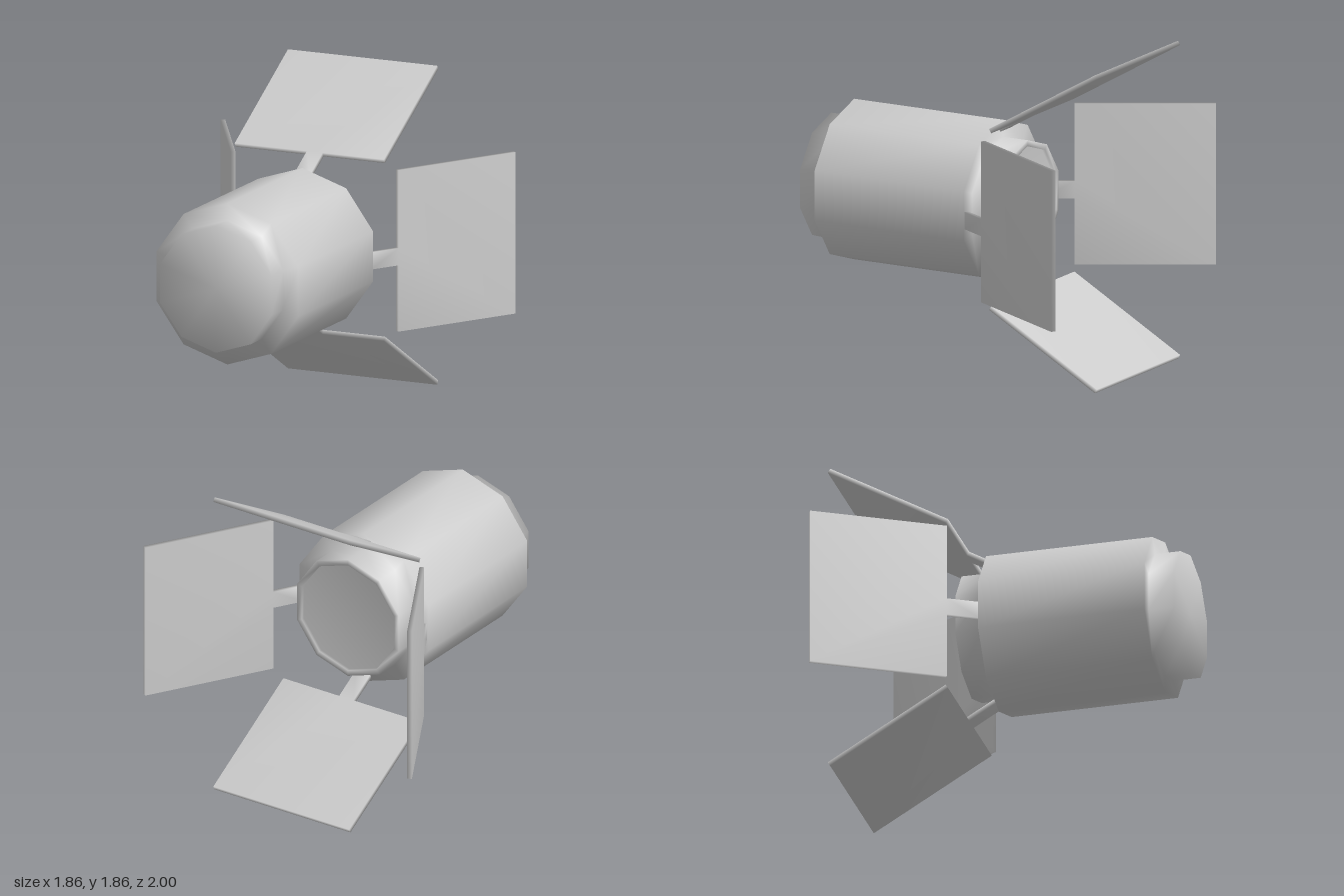
import * as THREE from 'three';
import { mergeVertices } from 'three/addons/utils/BufferGeometryUtils.js';

const CENTER_Y = 0.936;
const SLANT = Math.PI / 6; // panels splay 30 degrees from the body axis

// Weld shared corners so the shading runs smoothly across the whole part
function smooth(geometry) {
  geometry.deleteAttribute('uv');
  geometry.deleteAttribute('normal');
  const welded = mergeVertices(geometry, 1e-4);
  welded.computeVertexNormals();
  return welded;
}

export function createModel() {
  const model = new THREE.Group();
  model.name = 'satellite';
  const material = new THREE.MeshStandardMaterial({ color: 0xcccccc });

  // Ten-sided stepped body: recessed rear disc, wide hull, narrower nose
  const profile = [
    [0, -0.27], [0.335, -0.27], [0.335, -0.29], [0.37, -0.29], [0.37, -0.13],
    [0.47, -0.13], [0.47, 0.85], [0.37, 0.85], [0.37, 1], [0, 1],
  ].map(([r, z]) => new THREE.Vector2(r, z));
  const hull = new THREE.LatheGeometry(profile, 10);
  hull.rotateX(Math.PI / 2);
  const body = new THREE.Mesh(smooth(hull), material);
  body.name = 'body';
  body.position.y = CENTER_Y;
  model.add(body);

  // Flat panel with its strut, as one T-shaped plate
  const outline = new THREE.Shape([
    [-0.05, 0], [0.05, 0], [0.05, 0.19], [0.437, 0.19],
    [0.437, 0.993], [-0.505, 0.993], [-0.505, 0.19], [-0.05, 0.19],
  ].map(([x, y]) => new THREE.Vector2(x, y)));
  const thickness = 0.027;
  const plate = new THREE.ExtrudeGeometry(outline, { depth: thickness, bevelEnabled: false });
  plate.translate(0, 0, -thickness / 2);
  const panelGeometry = smooth(plate);

  // Four panels: outward direction, sideways direction, strut height shift
  const across = new THREE.Vector3(1, 0, 0);
  const down = new THREE.Vector3(0, -1, 0);
  const panels = [
    ['topPanel', new THREE.Vector3(0, 1, 0), across, 0],
    ['bottomPanel', new THREE.Vector3(0, -1, 0), across, 0],
    ['leftPanel', new THREE.Vector3(1, 0, 0), down, -0.028],
    ['rightPanel', new THREE.Vector3(-1, 0, 0), down, -0.028],
  ];
  for (const [name, out, side, shift] of panels) {
    const along = out.clone().multiplyScalar(Math.sin(SLANT));
    along.z = -Math.cos(SLANT);
    const normal = side.clone().cross(along);
    const panel = new THREE.Mesh(panelGeometry, material);
    panel.name = name;
    panel.quaternion.setFromRotationMatrix(new THREE.Matrix4().makeBasis(side, along, normal));
    panel.position.copy(out).multiplyScalar(0.423);
    panel.position.y += CENTER_Y + shift;
    panel.position.z = -0.133;
    model.add(panel);
  }

  return model;
}
